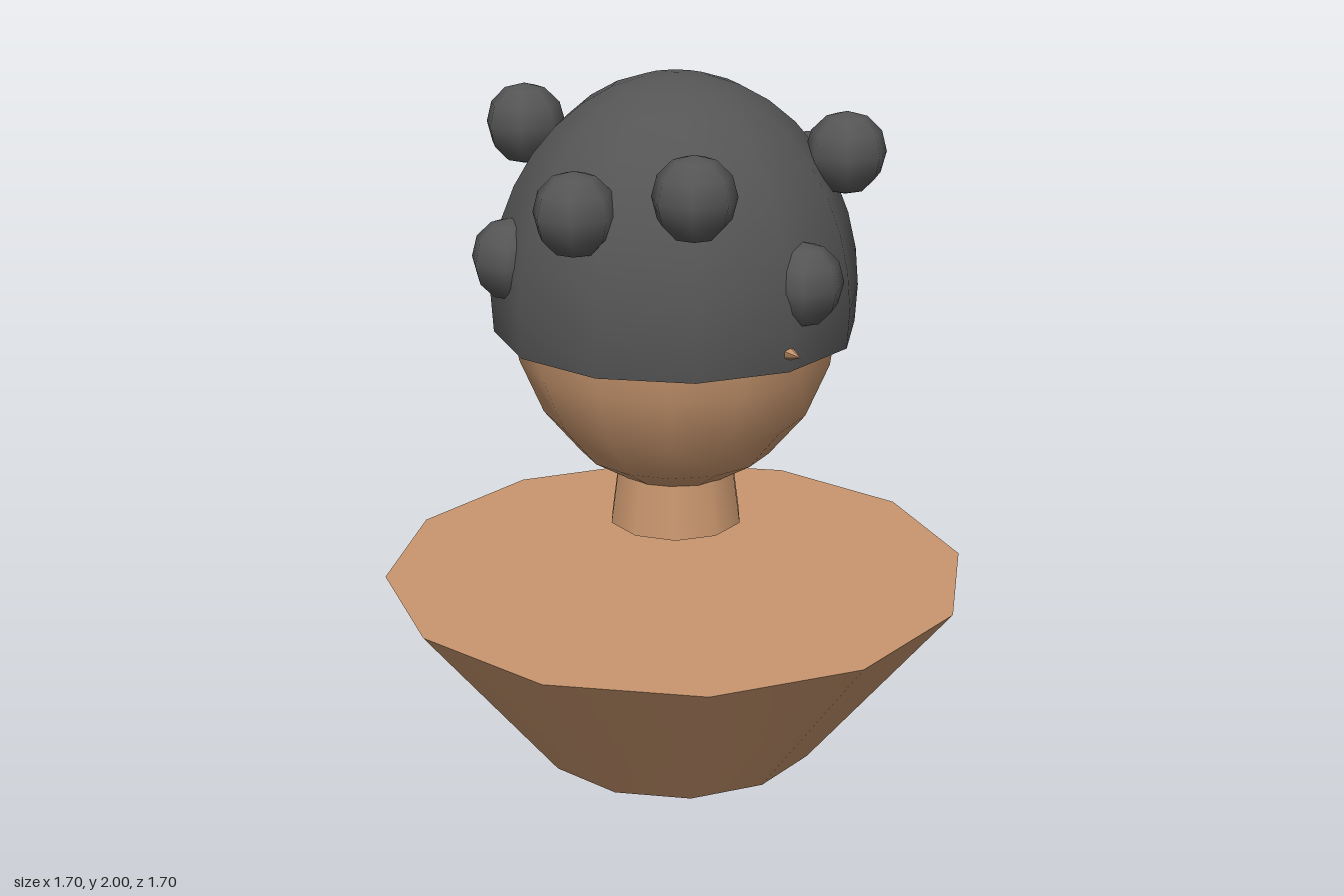
import * as THREE from 'three';

export function createModel() {
  const model = new THREE.Group();
  const skin = new THREE.MeshStandardMaterial({ color: 0xc8966e });
  skin.name = 'skin';
  const hairGrey = new THREE.MeshStandardMaterial({ color: 0x555555, side: THREE.DoubleSide });
  hairGrey.name = 'hairGrey';

  const add = (name, geometry, material, x, y, z, parent = model) => {
    const mesh = new THREE.Mesh(geometry, material);
    mesh.name = name;
    mesh.position.set(x, y, z);
    parent.add(mesh);
    return mesh;
  };

  // Flared shoulders and the floating neck
  add('shoulders', new THREE.CylinderGeometry(0.85, 0.425, 0.54, 12), skin, 0, 0.27, 0);
  add('neck', new THREE.CylinderGeometry(0.16, 0.195, 0.26, 10), skin, 0, 0.83, 0);

  // Egg-shaped head under an open hair cap
  const headY = 1.376;
  add('head', new THREE.SphereGeometry(0.47, 14, 10), skin, 0, headY, 0).scale.y = 1.2;
  add('hairCap', new THREE.SphereGeometry(0.52, 12, 10, 0, Math.PI * 2, 0, Math.PI * 0.55),
    hairGrey, 0, headY, 0).scale.y = 1.2;

  // Nose tip poking forward through the cap
  add('nose', new THREE.ConeGeometry(0.05, 0.13, 6), skin, 0, 1.33, 0.495).rotation.x = Math.PI / 2;

  // Ring of curls at uneven heights
  const curls = new THREE.Group();
  curls.name = 'curls';
  model.add(curls);
  const curlGeometry = new THREE.SphereGeometry(0.115, 7, 6);
  const heights = [1.665, 1.785, 1.495, 1.76, 1.7, 1.51, 1.82, 1.6, 1.59];
  heights.forEach((y, i) => {
    const a = (i / heights.length) * Math.PI * 2;
    add('curl', curlGeometry, hairGrey, Math.cos(a) * 0.468, y, Math.sin(a) * 0.468, curls);
  });

  return model;
}
